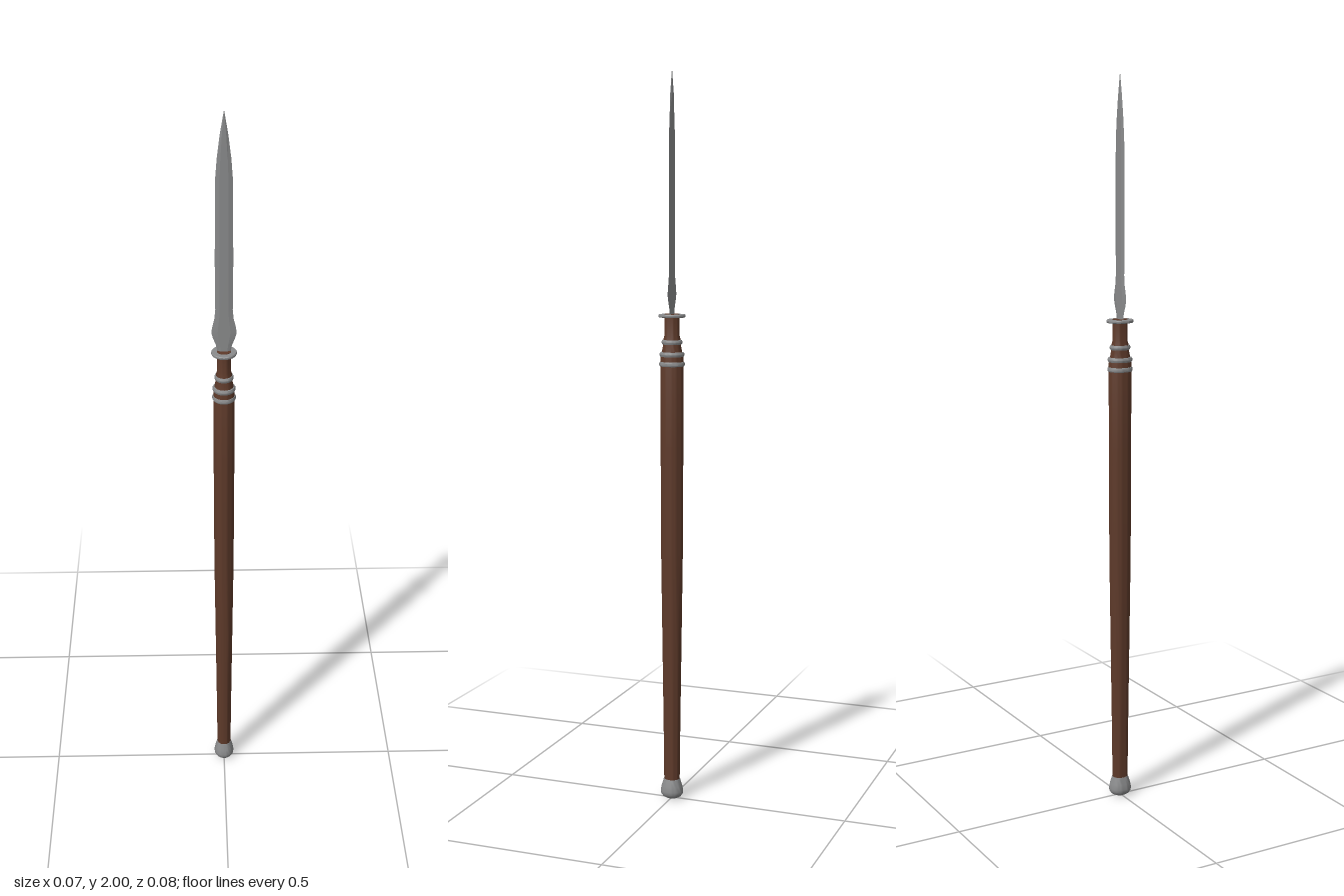
import * as THREE from 'three';
import { toCreasedNormals } from 'three/addons/utils/BufferGeometryUtils.js';

const wood = new THREE.MeshStandardMaterial({ color: 0x5e3a2a });
wood.name = 'dark wood';
const steel = new THREE.MeshStandardMaterial({ color: 0x8a8b8c });
steel.name = 'steel';

const DEPTH = 1.12; // every turned part is slightly oval, deeper along z

// Oval turned part from [radius, y] pairs, listed from bottom to top
function turned(name, profile, material) {
  const points = profile.map(([r, y]) => new THREE.Vector2(r, y));
  const geometry = new THREE.LatheGeometry(points, 32);
  geometry.scale(1, 1, DEPTH);
  const mesh = new THREE.Mesh(toCreasedNormals(geometry, 0.6), material);
  mesh.name = name;
  return mesh;
}

// Thin blade: six-sided sections with a flat centre and bevelled edges
function makeBlade() {
  const sections = [
    [1.352, 0.016], [1.375, 0.021], [1.395, 0.029], [1.41, 0.033],
    [1.425, 0.031], [1.45, 0.025], [1.475, 0.0225], [1.6, 0.0235],
    [1.82, 0.0225], [1.88, 0.018], [1.94, 0.0105], [2.0, 0.0003],
  ];
  const t = 0.003;
  const positions = [];
  const indices = [];
  for (const [y, w] of sections) {
    const c = w * 0.5;
    const h = y > 1.99 ? 0.0003 : t;
    positions.push(w, y, 0, c, y, h, -c, y, h, -w, y, 0, -c, y, -h, c, y, -h);
  }
  for (let i = 0; i < sections.length - 1; i++) {
    for (let j = 0; j < 6; j++) {
      const a = i * 6 + j;
      const b = i * 6 + ((j + 1) % 6);
      indices.push(a, a + 6, b, b, a + 6, b + 6);
    }
  }
  const geometry = new THREE.BufferGeometry();
  geometry.setAttribute('position', new THREE.Float32BufferAttribute(positions, 3));
  geometry.setIndex(indices);
  const mesh = new THREE.Mesh(toCreasedNormals(geometry, 0.08), steel);
  mesh.name = 'blade';
  return mesh;
}

export function createModel() {
  const group = new THREE.Group();
  group.name = 'spear';

  // Tapered wooden shaft, stepping in to a narrow neck under the guard
  group.add(turned('shaft', [
    [0, 0.04], [0.0195, 0.04], [0.021, 0.2], [0.024, 0.45], [0.027, 0.7],
    [0.028, 1.0], [0.028, 1.24], [0.026, 1.25], [0.0225, 1.27], [0.021, 1.29],
    [0.0185, 1.3], [0.0185, 1.358], [0, 1.358],
  ], wood));

  // Rounded butt cap
  group.add(turned('buttCap', [
    [0, 0], [0.015, 0.001], [0.023, 0.006], [0.028, 0.014], [0.0285, 0.022],
    [0.026, 0.036], [0.022, 0.05], [0.0205, 0.056], [0, 0.056],
  ], steel));

  // Binding rings
  for (const [y, r] of [[1.223, 0.0315], [1.249, 0.0305], [1.282, 0.0255]]) {
    group.add(turned('bindingRing', [
      [r - 0.008, y - 0.007], [r - 0.002, y - 0.006], [r, y - 0.002],
      [r, y + 0.002], [r - 0.002, y + 0.006], [r - 0.008, y + 0.007],
    ], steel));
  }

  // Flat collar around the top of the shaft
  group.add(turned('guard', [
    [0.018, 1.349], [0.032, 1.349], [0.0335, 1.351], [0.0335, 1.355],
    [0.032, 1.357], [0.018, 1.357],
  ], steel));

  group.add(makeBlade());
  return group;
}
